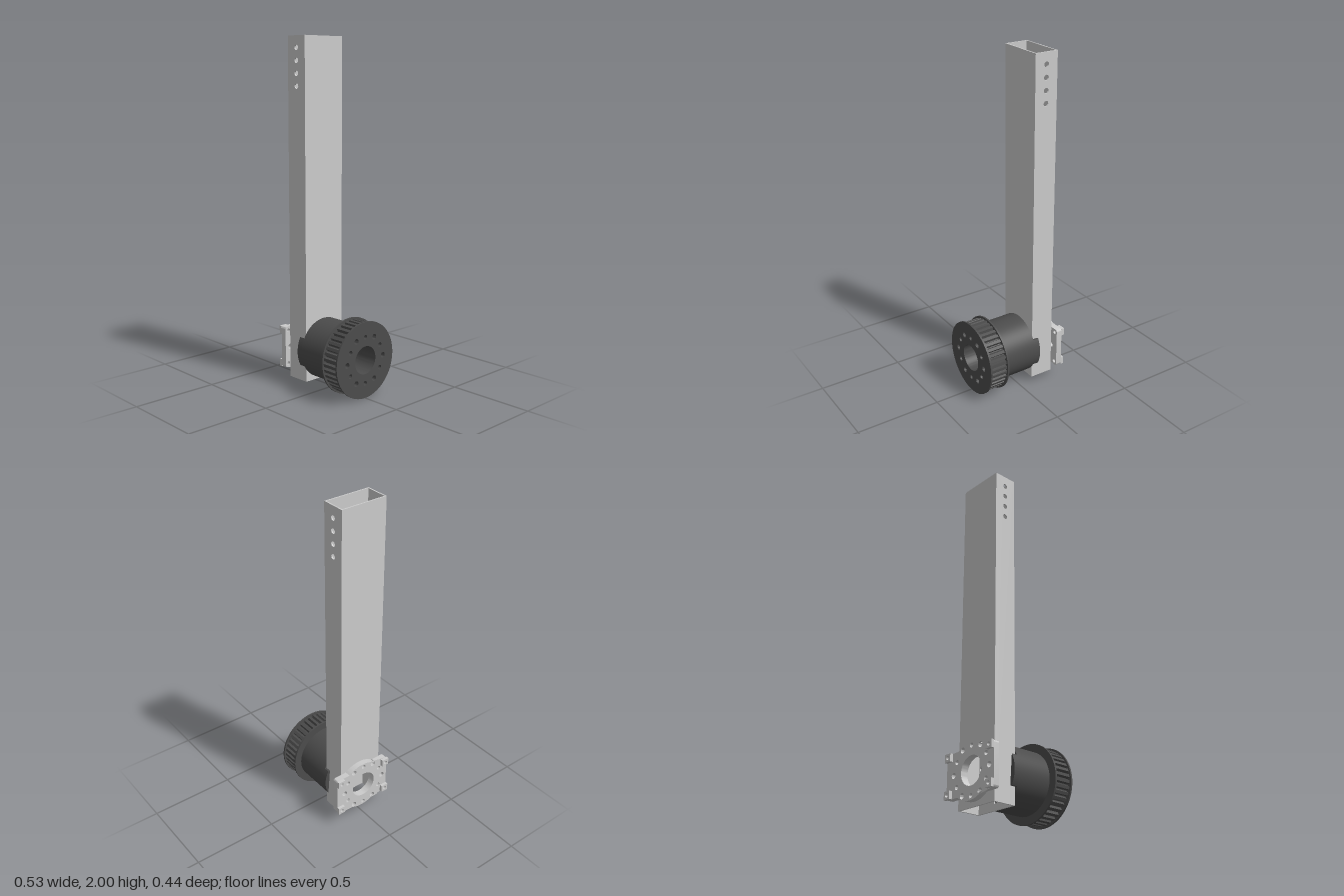
import * as THREE from 'three';
import { toCreasedNormals } from 'three/addons/utils/BufferGeometryUtils.js';

const AXIS_Y = 0.22;
const grey = new THREE.MeshStandardMaterial({ color: 0xcccccc });
const dark = new THREE.MeshStandardMaterial({ color: 0x4c4c4c });

function circle(r, u = 0, v = 0) {
  const s = new THREE.Shape();
  s.absarc(u, v, r, 0, Math.PI * 2, false);
  return s;
}

function rect(u0, u1, v0, v1) {
  return new THREE.Shape([[u0, v0], [u1, v0], [u1, v1], [u0, v1]].map(p => new THREE.Vector2(...p)));
}

function extrude(shape, depth, segments = 32) {
  const g = new THREE.ExtrudeGeometry(shape, { depth, bevelEnabled: false, curveSegments: segments });
  return toCreasedNormals(g, 0.5);
}

function add(parent, name, geometry, material) {
  const mesh = new THREE.Mesh(geometry, material);
  mesh.name = name;
  parent.add(mesh);
  return mesh;
}

// Extrudes a profile (u = -z, v = height above the axle) from x0 to x1
function alongX(parent, name, shape, x0, x1, material, segments) {
  const g = extrude(shape, x1 - x0, segments);
  g.rotateY(Math.PI / 2);
  g.translate(x0, AXIS_Y, 0);
  return add(parent, name, g, material);
}

// Ring of six holes
function boltRing(shape, radius, r, start) {
  for (let i = 0; i < 6; i++) {
    const a = start + i * Math.PI / 3;
    shape.holes.push(circle(r, radius * Math.cos(a), radius * Math.sin(a)));
  }
}

// Bore and through bolts shared by everything on the axle
function drill(shape, blind = true) {
  shape.holes.push(circle(0.08));
  boltRing(shape, 0.133, 0.013, Math.PI / 6);
  if (blind) boltRing(shape, 0.14, 0.016, 0);
  return shape;
}

function buildTube() {
  const tube = new THREE.Group();
  tube.name = 'squareTube';
  const x0 = -0.213, x1 = -0.073, w = 0.008, z = 0.14;
  // walls crossed by the axle
  for (const [name, x] of [['outerWall', x0], ['innerWall', x1 - w]]) {
    alongX(tube, name, drill(rect(-z, z, 0.04 - AXIS_Y, 2 - AXIS_Y), false), x, x + w, grey);
  }
  // front and back walls with adjustment holes
  for (const [name, zz] of [['frontWall', z - w], ['backWall', -z]]) {
    const s = rect(x0 + w, x1 - w, 0.04, 2);
    for (let i = 0; i < 4; i++) s.holes.push(circle(0.015, -0.143, 1.935 - i * 0.07));
    add(tube, name, extrude(s, w), grey).position.z = zz;
  }
  return tube;
}

function buildHub() {
  const hub = new THREE.Group();
  hub.name = 'hub';
  const R = 0.175, h = 0.083, flat = 0.142;
  alongX(hub, 'hubBody', drill(circle(R)), -0.073, 0.142, dark, 48);
  // lugs gripping both sides of the tube
  const a = Math.asin(h / R);
  for (const side of [0, Math.PI]) {
    const s = new THREE.Shape();
    const d = side ? -1 : 1;
    s.moveTo(d * flat, -d * h);
    s.absarc(0, 0, R, side - a, side + a, false);
    s.lineTo(d * flat, d * h);
    s.closePath();
    alongX(hub, 'lug', s, -0.108, -0.073, dark, 16);
  }
  return hub;
}

function buildPulley() {
  const pulley = new THREE.Group();
  pulley.name = 'beltPulley';
  for (const x of [0.14, 0.254]) {
    alongX(pulley, 'flange', drill(circle(0.22)), x, x + 0.01, dark, 48);
  }
  // toothed belt track
  const teeth = 40, pts = [];
  const profile = [[0.0, 0.21], [0.5, 0.21], [0.58, 0.2], [0.68, 0.194], [0.82, 0.194], [0.92, 0.2]];
  for (let i = 0; i < teeth; i++) {
    for (const [t, r] of profile) {
      const a = (i + t) / teeth * Math.PI * 2;
      pts.push(new THREE.Vector2(r * Math.cos(a), r * Math.sin(a)));
    }
  }
  alongX(pulley, 'toothedTrack', drill(new THREE.Shape(pts)), 0.15, 0.254, dark);
  return pulley;
}

function buildPlate() {
  const plate = new THREE.Group();
  plate.name = 'bearingPlate';
  // rectangle with domed top and bottom
  const c = 0.01, w = 0.185, h = 0.122, R = 0.155, r = 0.015;
  const a = Math.asin(h / R);
  const s = new THREE.Shape();
  s.moveTo(c + w, -h + r);
  s.lineTo(c + w, h - r);
  s.quadraticCurveTo(c + w, h, c + w - r, h);
  s.absarc(c, 0, R, a, Math.PI - a, false);
  s.lineTo(c - w + r, h);
  s.quadraticCurveTo(c - w, h, c - w, h - r);
  s.lineTo(c - w, -h + r);
  s.quadraticCurveTo(c - w, -h, c - w + r, -h);
  s.absarc(c, 0, R, Math.PI + a, Math.PI * 2 - a, false);
  s.lineTo(c + w - r, -h);
  s.quadraticCurveTo(c + w, -h, c + w, -h + r);
  drill(s);
  const pads = [];
  for (const su of [-1, 1]) for (const sv of [-1, 1]) pads.push([c + su * 0.163, sv * 0.1]);
  for (const [u, v] of pads) s.holes.push(circle(0.011, u, v));
  alongX(plate, 'plateBody', s, -0.248, -0.213, grey);
  // raised corner pads
  for (const [u, v] of pads) {
    const p = rect(u - 0.022, u + 0.022, v - 0.022, v + 0.022);
    p.holes.push(circle(0.011, u, v));
    alongX(plate, 'cornerPad', p, -0.266, -0.248, grey, 16);
  }
  return plate;
}

export function createModel() {
  const model = new THREE.Group();
  model.name = 'pulleyArm';
  model.add(buildTube(), buildHub(), buildPulley(), buildPlate());
  return model;
}
